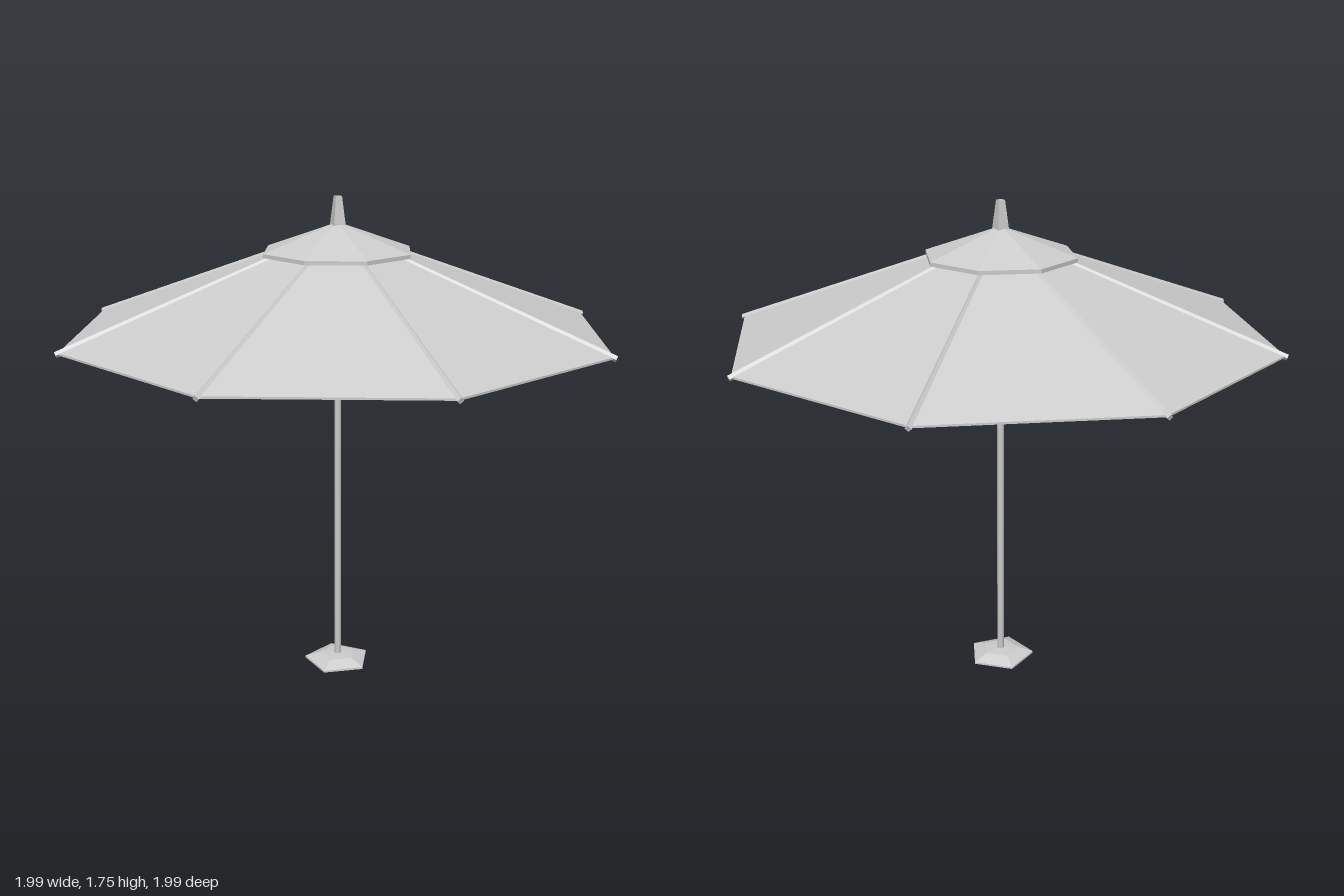
import * as THREE from 'three';

const grey = new THREE.MeshStandardMaterial({ color: 0xcccccc });
grey.name = 'light grey';

// Faceted mesh: unshared corners give every face its own normal
function facet(name, geometry) {
  const flat = geometry.index ? geometry.toNonIndexed() : geometry;
  flat.computeVertexNormals();
  const mesh = new THREE.Mesh(flat, grey);
  mesh.name = name;
  return mesh;
}

// Faceted solid of revolution; the profile runs along the underside, then back over the top
function turned(name, profile, sides) {
  const points = profile.map(([r, y]) => new THREE.Vector2(r, y));
  return facet(name, new THREE.LatheGeometry(points, sides));
}

export function createModel() {
  const model = new THREE.Group();
  model.name = 'parasol';

  // Five-sided domed foot
  model.add(turned('base', [[0, 0], [0.125, 0], [0.125, 0.007], [0.07, 0.027], [0, 0.031]], 5));

  // Pole and the small hub that holds the ribs
  const pole = new THREE.Mesh(new THREE.CylinderGeometry(0.013, 0.013, 1.61, 8), grey);
  pole.name = 'pole';
  pole.position.y = 0.825;
  model.add(pole);
  model.add(turned('hub', [[0, 1.6], [0.024, 1.6], [0.024, 1.635], [0, 1.635]], 8));

  // Eight-sided canopy with a smaller vent cap above it
  model.add(turned('canopy', [[0, 1.638], [0.985, 1.274], [0.985, 1.281], [0, 1.645]], 8));
  model.add(turned('ventCap', [[0, 1.648], [0.272, 1.555], [0.272, 1.569], [0, 1.666]], 8));

  // Ribs: slender diamond bars along each seam, poking out a little at the tips
  const inner = new THREE.Vector3(0.015, 1.634, 0);
  const outer = new THREE.Vector3(0.993, 1.275, 0);
  const along = outer.clone().sub(inner);
  const ribs = new THREE.Group();
  ribs.name = 'ribs';
  for (let i = 0; i < 8; i++) {
    const arm = new THREE.Group();
    const rib = facet('rib', new THREE.CylinderGeometry(0.011, 0.011, along.length(), 4));
    rib.position.copy(inner).add(outer).multiplyScalar(0.5);
    rib.rotation.z = Math.atan2(along.y, along.x) - Math.PI / 2;
    arm.add(rib);
    arm.rotation.y = (i * Math.PI) / 4;
    ribs.add(arm);
  }
  model.add(ribs);

  // Four-sided tapered finial
  model.add(turned('finial', [[0, 1.65], [0.031, 1.65], [0.016, 1.755], [0, 1.755]], 4));

  return model;
}
